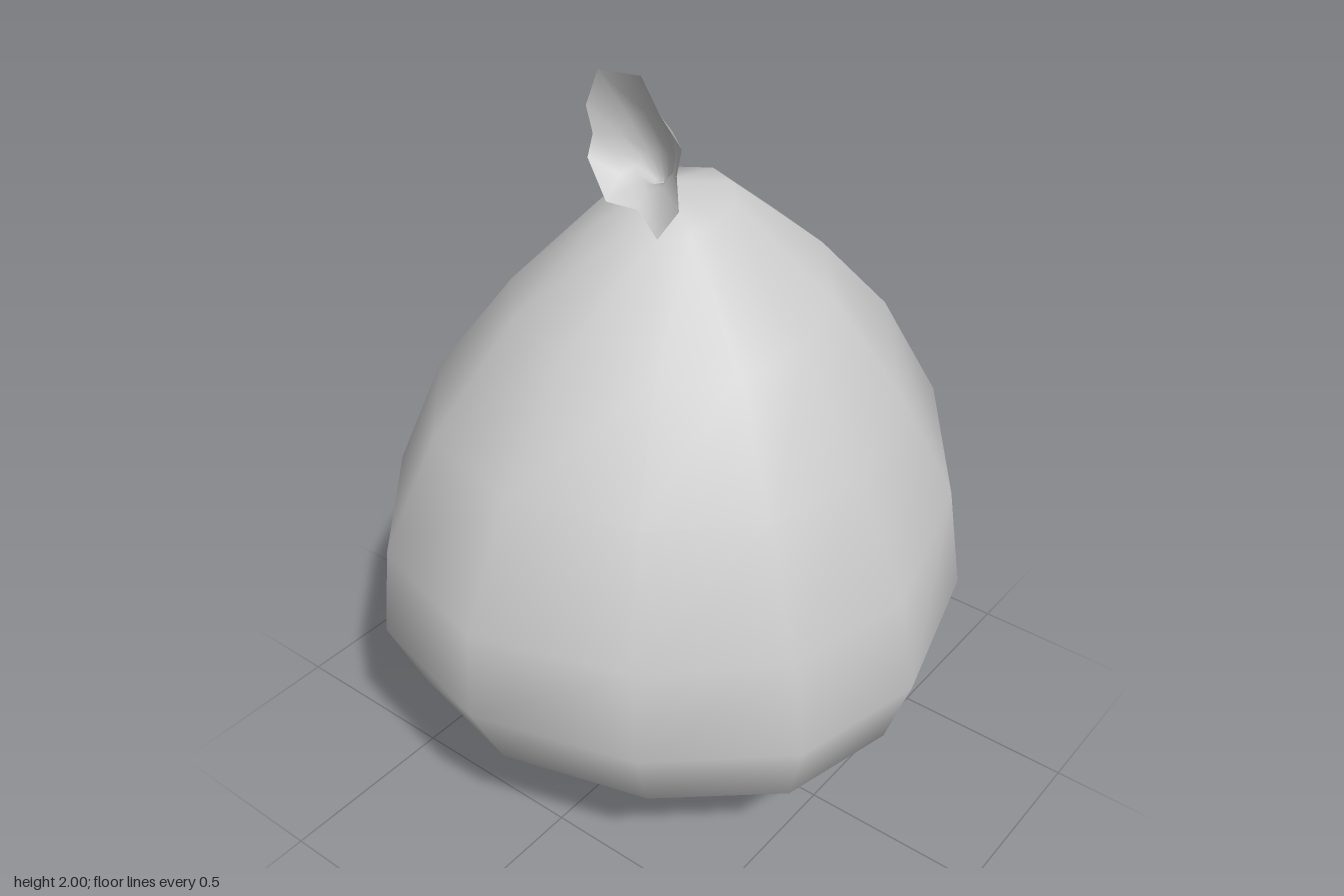
import * as THREE from 'three';
import { mergeVertices } from 'three/addons/utils/BufferGeometryUtils.js';

// Skin a surface over closed rings that share one point count
function loft(rings) {
  const n = rings[0].length, index = [];
  for (let r = 0; r < rings.length - 1; r++) {
    for (let i = 0; i < n; i++) {
      const a = r * n + i, b = r * n + (i + 1) % n, c = a + n, d = b + n;
      if (r > 0) index.push(a, c, b);
      index.push(b, c, d);
    }
  }
  let geo = new THREE.BufferGeometry();
  geo.setAttribute('position', new THREE.Float32BufferAttribute(rings.flat(2), 3));
  geo.setIndex(index);
  geo = mergeVertices(geo, 1e-5);
  geo.computeVertexNormals();
  return geo;
}

// Uneven twelve-sided plan of the bag at its widest, as [x, z]
const PLAN = [
  [0.78, 0.06], [0.71, 0.41], [0.43, 0.65], [0.03, 0.75], [-0.35, 0.67], [-0.64, 0.39],
  [-0.78, -0.02], [-0.69, -0.41], [-0.39, -0.67], [0.02, -0.75], [0.36, -0.62], [0.62, -0.32],
];

// Each level: [reach, height] on the left (+x), right, front and back
const LEVELS = [
  [[0.02, 0], [0.02, 0], [0.03, 0], [0.03, 0]],
  [[0.29, 0.07], [-0.27, 0.07], [0.31, 0.07], [-0.28, 0.07]],
  [[0.48, 0.17], [-0.48, 0.17], [0.52, 0.17], [-0.48, 0.17]],
  [[0.67, 0.41], [-0.69, 0.38], [0.69, 0.33], [-0.67, 0.38]],
  [[0.78, 0.69], [-0.78, 0.58], [0.75, 0.52], [-0.75, 0.61]],
  [[0.76, 1.02], [-0.76, 0.82], [0.70, 0.78], [-0.71, 0.89]],
  [[0.54, 1.36], [-0.62, 1.14], [0.58, 1.12], [-0.57, 1.20]],
  [[0.39, 1.52], [-0.38, 1.41], [0.38, 1.39], [-0.41, 1.43]],
  [[0.20, 1.68], [-0.15, 1.62], [0.11, 1.64], [-0.20, 1.65]],
  [[0.02, 1.70], [0.02, 1.70], [-0.05, 1.70], [-0.05, 1.70]],
];

function bagRing([left, right, front, back]) {
  return PLAN.map(([px, pz]) => {
    const u = px / 0.78, v = pz / 0.75, s = u * u + v * v;
    const side = u > 0 ? left : right, end = v > 0 ? front : back;
    return [
      (left[0] + right[0]) / 2 + u * (left[0] - right[0]) / 2,
      (side[1] * u * u + end[1] * v * v) / s,
      (front[0] + back[0]) / 2 + v * (front[0] - back[0]) / 2,
    ];
  });
}

// Ragged rim of the gathered mouth, from the top round by the front
const RIM = [
  [-0.08, 2.0, -0.03], [-0.10, 1.93, 0.04], [-0.11, 1.87, 0.11], [-0.09, 1.79, 0.08],
  [-0.12, 1.72, 0.11], [-0.15, 1.65, 0.07], [-0.12, 1.69, -0.01], [-0.13, 1.69, -0.10],
  [-0.10, 1.77, -0.18], [-0.09, 1.83, -0.17], [-0.10, 1.90, -0.18], [-0.09, 1.99, -0.15],
];

// Oval ring of the mouth between an upper and a lower [x, y] point
function mouthRing(top, bottom, halfWidth) {
  return RIM.map((_, i) => {
    const a = (i - 0.5) / RIM.length * Math.PI * 2, k = (1 + Math.cos(a)) / 2;
    return [
      bottom[0] + (top[0] - bottom[0]) * k,
      bottom[1] + (top[1] - bottom[1]) * k,
      -0.045 + Math.sin(a) * halfWidth,
    ];
  });
}

export function createModel() {
  const model = new THREE.Group();
  model.name = 'tiedBag';

  // Full, lopsided body
  const body = new THREE.Mesh(
    loft(LEVELS.map(bagRing)),
    new THREE.MeshStandardMaterial({ color: 0xcccccc }),
  );
  body.name = 'bagBody';

  // Gathered mouth: pinched at the tie, flaring over to one side
  const mouth = new THREE.Mesh(
    loft([
      mouthRing([0.015, 1.68], [0.0, 1.68], 0.012),
      mouthRing([0.025, 1.71], [-0.005, 1.695], 0.02),
      mouthRing([0.022, 1.78], [-0.04, 1.72], 0.055),
      mouthRing([-0.02, 1.89], [-0.075, 1.71], 0.09),
      RIM,
    ]),
    new THREE.MeshStandardMaterial({ color: 0xcccccc, side: THREE.DoubleSide }),
  );
  mouth.name = 'gatheredMouth';

  model.add(body, mouth);
  return model;
}
